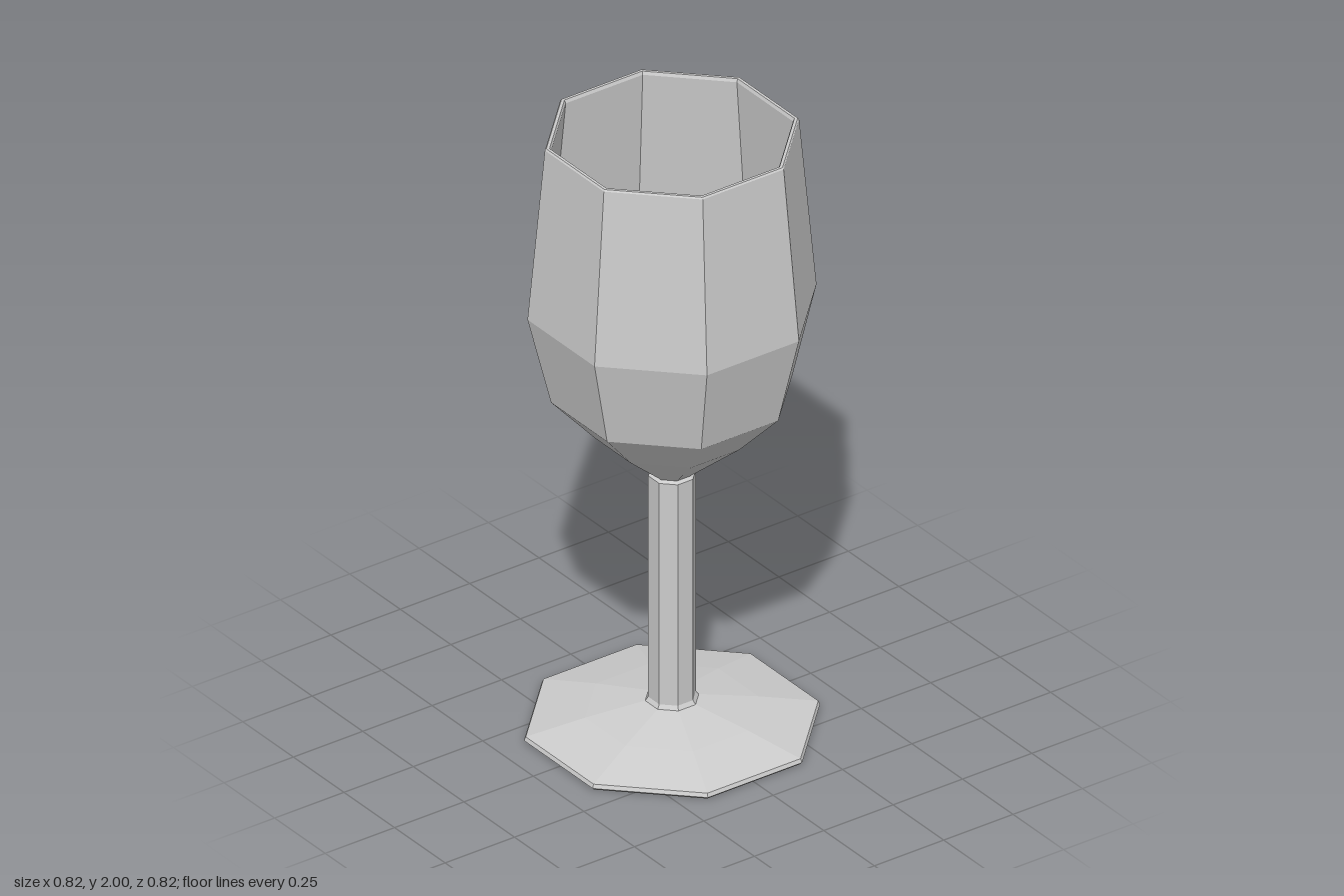
import * as THREE from 'three';

const SIDES = 8;
const TO_CORNER = 1 / Math.cos(Math.PI / SIDES); // flat-to-centre distance -> corner radius

// Eight-sided turned part; profile is [flat distance, height], running outside upward
function turned(name, profile, material) {
  const points = profile.map(([d, y]) => new THREE.Vector2(d * TO_CORNER, y));
  const mesh = new THREE.Mesh(
    new THREE.LatheGeometry(points, SIDES, Math.PI / SIDES, Math.PI * 2), material);
  mesh.name = name;
  return mesh;
}

export function createModel() {
  const group = new THREE.Group();
  group.name = 'goblet';
  const glass = new THREE.MeshStandardMaterial({ color: 0xcccccc, flatShading: true });

  // Flat-bottomed foot with a thin edge and a shallow sloping top
  group.add(turned('foot', [
    [0, 0], [0.402, 0], [0.41, 0.008], [0.405, 0.02],
    [0.24, 0.06], [0.078, 0.092], [0.066, 0.094],
  ], glass));

  // Straight stem with a small flare at the foot
  group.add(turned('stem', [
    [0.076, 0.09], [0.066, 0.105], [0.066, 0.852], [0.055, 0.86],
  ], glass));

  // Thin-walled bowl: outside up to the rim, then inside down to the floor
  group.add(turned('bowl', [
    [0.055, 0.858], [0.212, 1.0], [0.335, 1.14], [0.4, 1.43], [0.352, 1.995],
    [0.348, 2], [0.339, 2], [0.335, 1.99],
    [0.384, 1.43], [0.32, 1.15], [0.198, 1.012], [0.052, 0.88], [0, 0.88],
  ], glass));

  return group;
}
